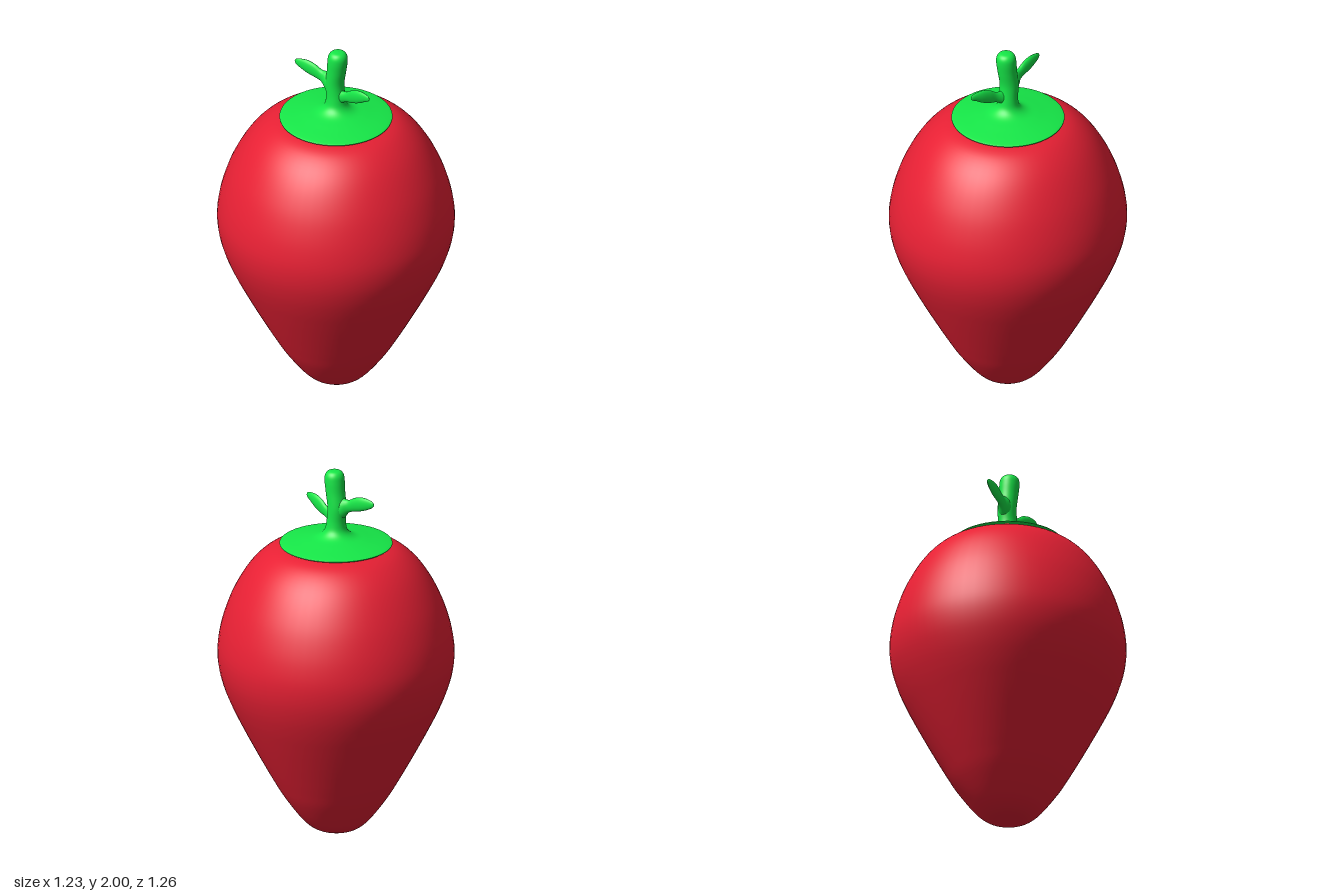
import * as THREE from 'three';

const red = new THREE.MeshStandardMaterial({ color: 0xe82034 });
const green = new THREE.MeshStandardMaterial({ color: 0x16e848 });

// Smooth skin through elliptical sections [y, zCentre, xRadius, zRadius], listed bottom to top.
function loft(name, sections, material, rings, sides) {
  const spine = new THREE.CatmullRomCurve3(sections.map(s => new THREE.Vector3(0, s[0], s[1])), false, 'catmullrom', 0.5);
  const radii = new THREE.CatmullRomCurve3(sections.map(s => new THREE.Vector3(s[2], 0, s[3])), false, 'catmullrom', 0.5);
  const geometry = new THREE.CylinderGeometry(1, 1, 1, sides, rings, true);
  const pos = geometry.attributes.position;
  for (let j = 0; j <= rings; j++) {
    const c = spine.getPoint(1 - j / rings), r = radii.getPoint(1 - j / rings);
    for (let i = 0; i <= sides; i++) {
      const a = (i / sides) * Math.PI * 2;
      pos.setXYZ(j * (sides + 1) + i,
        Math.sin(a) * Math.max(r.x, 0), c.y, c.z + Math.cos(a) * Math.max(r.z, 0));
    }
  }
  geometry.computeVertexNormals();
  // Share the normal across the seam
  const n = geometry.attributes.normal;
  const v = new THREE.Vector3(), w = new THREE.Vector3();
  for (let j = 0; j <= rings; j++) {
    const a = j * (sides + 1), b = a + sides;
    v.fromBufferAttribute(n, a).add(w.fromBufferAttribute(n, b)).normalize();
    n.setXYZ(a, v.x, v.y, v.z);
    n.setXYZ(b, v.x, v.y, v.z);
  }
  const mesh = new THREE.Mesh(geometry, material);
  mesh.name = name;
  return mesh;
}

export function createModel() {
  const model = new THREE.Group();
  model.name = 'strawberry';

  // Fruit body, slightly deeper than wide, with full rounded shoulders
  const fruitProfile = [
    [0.004, 0], [0.005, 0.06], [0.024, 0.123], [0.08, 0.186], [0.2, 0.274], [0.3, 0.333], [0.4, 0.388],
    [0.5, 0.441], [0.6, 0.492], [0.7, 0.54], [0.8, 0.58], [0.9, 0.607], [1, 0.616], [1.1, 0.605],
    [1.2, 0.58], [1.3, 0.543], [1.4, 0.491], [1.48, 0.434], [1.54, 0.37], [1.575, 0.305],
    [1.592, 0.22], [1.597, 0.11], [1.597, 0],
  ];
  model.add(loft('fruit', fruitProfile.map(([y, r]) => [y, 0, r, r * 1.02]), red, 88, 64));

  // Calyx disc flowing up into a gently bent stem
  const stemProfile = [
    [1.592, 0, 0], [1.588, 0, 0.15], [1.589, 0, 0.27], [1.599, 0, 0.296], [1.609, 0, 0.26],
    [1.625, 0, 0.17], [1.64, 0, 0.1], [1.67, 0, 0.062], [1.72, -0.002, 0.051], [1.8, -0.008, 0.05],
    [1.88, 0.004, 0.051], [1.94, 0.011, 0.053], [1.975, 0.013, 0.049], [1.995, 0.013, 0.032], [2, 0.013, 0],
  ];
  model.add(loft('calyxAndStem', stemProfile.map(([y, z, r]) => [y, z, r, r]), green, 84, 48));

  // Thin upright leaves: [distance out, height, thickness radius, height radius]
  const addLeaf = (name, sections, angle) => {
    const leaf = loft(name, sections.map(([d, h, t, r]) => [d, -h, t, r]), green, 40, 20);
    leaf.geometry.rotateX(Math.PI / 2);
    leaf.rotation.y = angle;
    model.add(leaf);
  };
  addLeaf('frontLeaf', [
    [0, 1.715, 0.034, 0.05], [0.045, 1.735, 0.021, 0.036], [0.08, 1.75, 0.014, 0.031],
    [0.12, 1.768, 0.015, 0.039], [0.165, 1.784, 0.015, 0.037], [0.205, 1.796, 0.011, 0.025],
    [0.232, 1.8, 0.006, 0.014], [0.24, 1.8, 0, 0],
  ], 0);
  addLeaf('backLeaf', [
    [0, 1.78, 0.045, 0.075], [0.05, 1.8, 0.034, 0.055], [0.085, 1.82, 0.018, 0.035],
    [0.125, 1.838, 0.016, 0.038], [0.17, 1.85, 0.016, 0.038], [0.215, 1.858, 0.011, 0.027],
    [0.242, 1.862, 0.006, 0.014], [0.25, 1.862, 0, 0],
  ], Math.PI + 0.23);

  return model;
}
